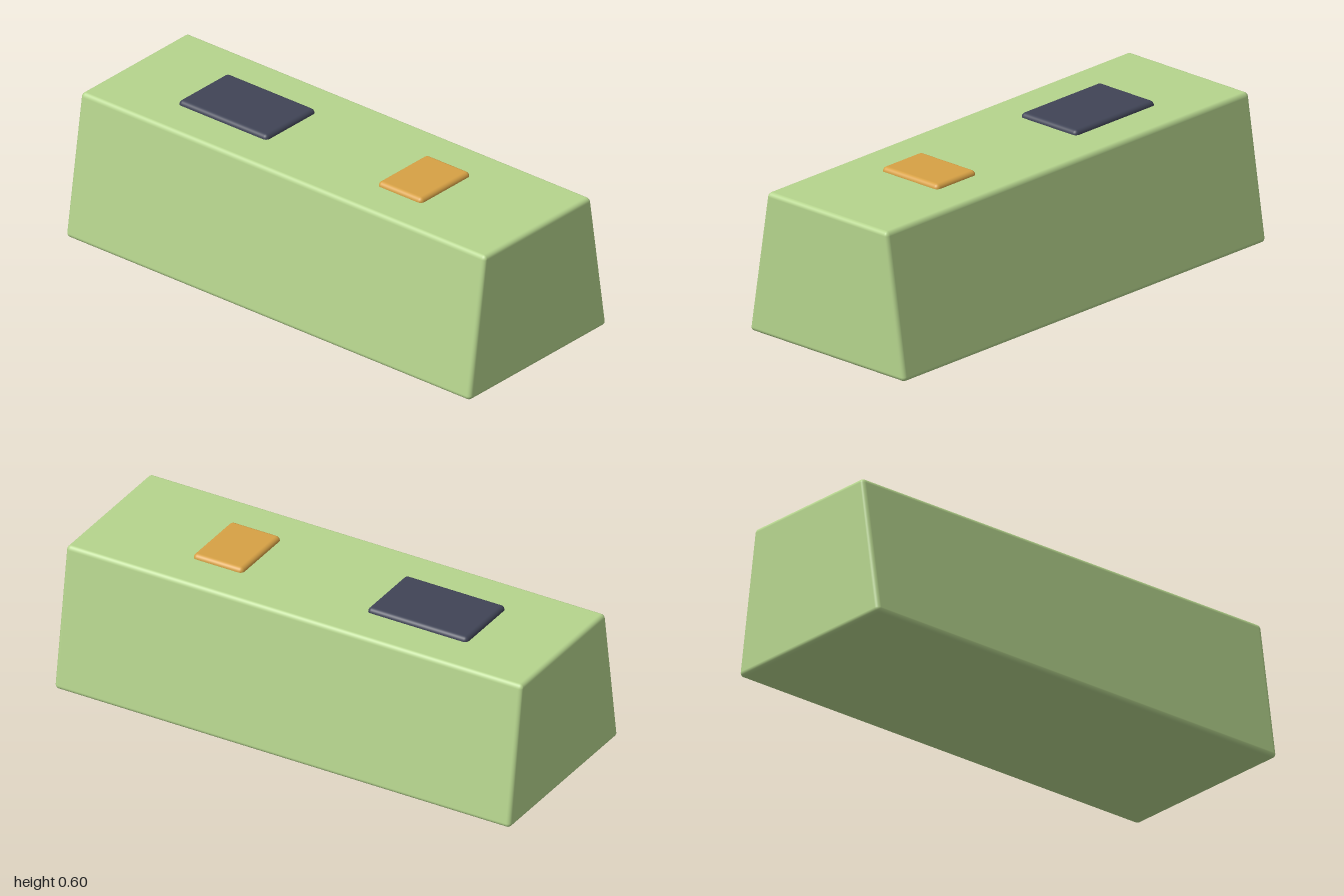
import * as THREE from 'three';
import { RoundedBoxGeometry } from 'three/addons/geometries/RoundedBoxGeometry.js';

const HEIGHT = 0.583;
const TAPER = 0.23; // share of the width lost from bottom to top

function material(name, color) {
  const m = new THREE.MeshStandardMaterial({ color });
  m.name = name;
  return m;
}

// Narrow a geometry in x towards the top, keeping its smooth normals correct
function taper(geometry) {
  const p = geometry.attributes.position;
  const n = geometry.attributes.normal;
  const k = TAPER / HEIGHT;
  const v = new THREE.Vector3();
  for (let i = 0; i < p.count; i++) {
    const x = p.getX(i);
    const s = 1 - k * p.getY(i);
    p.setX(i, x * s);
    v.fromBufferAttribute(n, i);
    v.set(v.x / s, v.y + (v.x * x * k) / s, v.z).normalize();
    n.setXYZ(i, v.x, v.y, v.z);
  }
  return geometry;
}

export function createModel() {
  const model = new THREE.Group();
  model.name = 'taperedBlock';

  const green = material('light green', 0xb5d48d);
  const orange = material('orange', 0xd7a145);
  const navy = material('dark slate', 0x404456);

  // Body: long rounded block with sloping sides
  const bodyGeometry = new RoundedBoxGeometry(0.8, HEIGHT, 2, 4, 0.018);
  bodyGeometry.translate(0, HEIGHT / 2, 0);
  const body = new THREE.Mesh(taper(bodyGeometry), green);
  body.name = 'body';
  model.add(body);

  // Rounded pads, half sunk into the top
  const addPad = (name, depth, z, mat) => {
    const pad = new THREE.Mesh(new RoundedBoxGeometry(0.29, 0.04, depth, 4, 0.018), mat);
    pad.name = name;
    pad.position.set(0, 0.581, z);
    model.add(pad);
  };
  addPad('frontPad', 0.22, 0.435, orange);
  addPad('rearPad', 0.44, -0.44, navy);

  return model;
}
